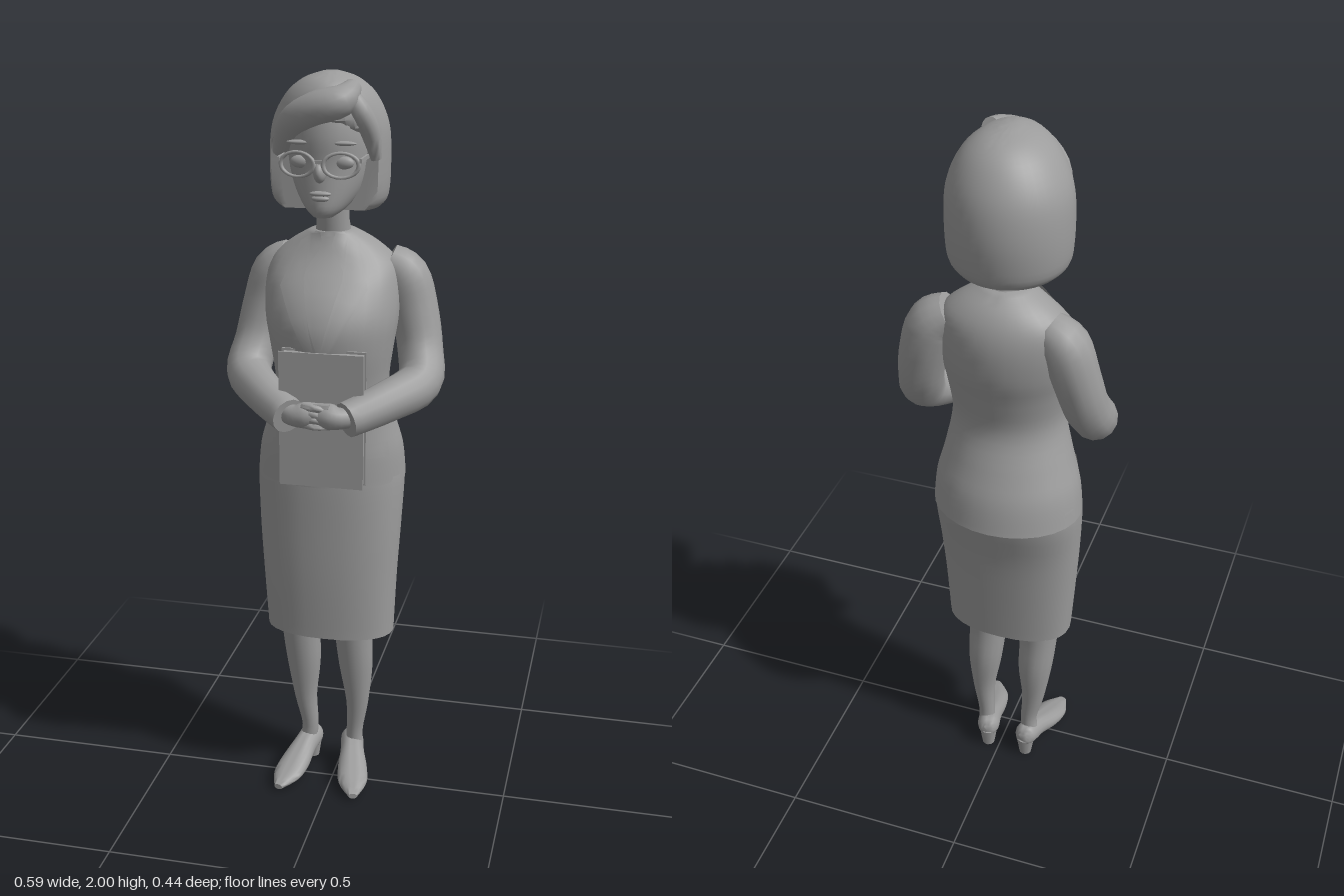
import * as THREE from 'three';
import { toCreasedNormals } from 'three/addons/utils/BufferGeometryUtils.js';

const V = (x, y, z) => new THREE.Vector3(x, y, z);
const grey = new THREE.MeshStandardMaterial({ color: 0x9c9c9c });
grey.name = 'grey';
const greySheet = new THREE.MeshStandardMaterial({ color: 0x9c9c9c, side: THREE.DoubleSide });
greySheet.name = 'grey sheet';

function add(parent, name, geometry, pos = [0, 0, 0], scale = [1, 1, 1], material = grey) {
  const m = new THREE.Mesh(geometry, material);
  m.name = name;
  m.position.set(...pos);
  m.scale.set(...scale);
  parent.add(m);
  return m;
}

// Skin over closed rings of points, with both ends capped
function skin(rings, crease = 0.9) {
  const middle = r => r.map(() => r.reduce((s, p) => s.add(p), V(0, 0, 0)).divideScalar(r.length));
  const all = [middle(rings[0].map(p => p.clone())), ...rings, middle(rings.at(-1).map(p => p.clone()))];
  const n = rings[0].length, index = [];
  for (let i = 0; i < all.length - 1; i++) for (let j = 0; j < n; j++) {
    const k = (j + 1) % n, a = i * n + j, b = a + n, c = i * n + k, d = c + n;
    if (i > 0) index.push(a, b, c);
    if (i < all.length - 2) index.push(b, d, c);
    if (i === 0) index.splice(index.length - 3, 3, a, b, d);
  }
  const g = new THREE.BufferGeometry().setFromPoints(all.flat());
  g.setIndex(index);
  return toCreasedNormals(g, crease);
}

// Smooth value through rows of numbers at position u (in rows)
function smooth(rows, u) {
  const i = Math.min(Math.floor(u), rows.length - 2), t = u - i;
  const at = k => rows[Math.max(0, Math.min(rows.length - 1, k))];
  return rows[0].map((_, c) => {
    const [p, q, r, s] = [at(i - 1)[c], at(i)[c], at(i + 1)[c], at(i + 2)[c]];
    return q + 0.5 * t * (r - p + t * (2 * p - 5 * q + 4 * r - s + t * (3 * (q - r) + s - p)));
  });
}

// Vertical loft; rows are [y, centre x, half width, front z, back z]
function loft(rows, { steps = 4, sides = 28, power = 2, rule = p => p } = {}) {
  const rings = [];
  for (let s = 0; s <= (rows.length - 1) * steps; s++) {
    const [y, cx, rx, zf, zb] = smooth(rows, s / steps);
    rings.push(Array.from({ length: sides }, (_, j) => {
      const a = j / sides * Math.PI * 2, c = Math.cos(a), d = Math.sin(a), e = 2 / power;
      return rule(V(cx + rx * Math.sign(c) * Math.abs(c) ** e, y,
        (zf + zb) / 2 + (zf - zb) / 2 * Math.sign(d) * Math.abs(d) ** e));
    }));
  }
  return skin(rings);
}

// Tube of changing radius; rows are [x, y, z, radius]
function limb(rows, steps = 4, sides = 14) {
  const n = (rows.length - 1) * steps;
  const pts = Array.from({ length: n + 1 }, (_, s) => smooth(rows, s / steps));
  const curve = new THREE.CatmullRomCurve3(pts.map(p => V(...p)));
  curve.getUtoTmapping = u => u;
  const f = curve.computeFrenetFrames(n);
  return skin(pts.map((p, i) => Array.from({ length: sides }, (_, j) => {
    const a = j / sides * Math.PI * 2;
    return V(...p).addScaledVector(f.normals[i], Math.cos(a) * p[3])
      .addScaledVector(f.binormals[i], -Math.sin(a) * p[3]);
  })));
}

const TORSO = [
  [0.935, -0.015, 0.203, 0.098, -0.225], [1.02, -0.013, 0.194, 0.1, -0.208],
  [1.1, -0.01, 0.172, 0.1, -0.178], [1.2, -0.005, 0.152, 0.105, -0.145],
  [1.3, -0.005, 0.163, 0.125, -0.162], [1.38, -0.007, 0.176, 0.125, -0.184],
  [1.46, -0.01, 0.178, 0.085, -0.19], [1.52, -0.01, 0.165, 0.037, -0.18],
  [1.565, -0.01, 0.118, 0.01, -0.155], [1.6, -0.01, 0.06, -0.002, -0.115],
];

// Front of the jacket at a given x and y
function chestZ(x, y) {
  let i = 0;
  while (i < TORSO.length - 2 && TORSO[i + 1][0] < y) i++;
  const u = i + (y - TORSO[i][0]) / (TORSO[i + 1][0] - TORSO[i][0]);
  const [, cx, rx, zf, zb] = smooth(TORSO, Math.min(u, TORSO.length - 1));
  return (zf + zb) / 2 + (zf - zb) / 2 * Math.sqrt(Math.max(0, 1 - ((x - cx) / rx) ** 2));
}

// Cloth strip laid on the chest between two edge lines of [x, y] points
function drape(left, right, lift, n = 10, m = 5) {
  const pts = [], index = [];
  for (let i = 0; i <= n; i++) {
    const u = i / n * (left.length - 1), k = Math.min(Math.floor(u), left.length - 2), t = u - k;
    const at = e => [0, 1].map(c => e[k][c] * (1 - t) + e[k + 1][c] * t);
    const a = at(left), b = at(right);
    for (let j = 0; j <= m; j++) {
      const x = a[0] + (b[0] - a[0]) * j / m, y = a[1] + (b[1] - a[1]) * j / m;
      pts.push(V(x, y, chestZ(x, y) + lift));
      if (i < n && j < m) {
        const p = i * (m + 1) + j, q = p + m + 1;
        index.push(p, q, p + 1, q, q + 1, p + 1);
      }
    }
  }
  const g = new THREE.BufferGeometry().setFromPoints(pts);
  g.setIndex(index);
  g.computeVertexNormals();
  return g;
}

export function createModel() {
  const model = new THREE.Group();
  model.name = 'woman with book';
  const ball = new THREE.SphereGeometry(1, 20, 14);

  // Clothes
  add(model, 'skirt', loft([
    [0.48, -0.01, 0.178, 0.075, -0.13], [0.65, -0.013, 0.187, 0.08, -0.148],
    [0.8, -0.014, 0.196, 0.08, -0.167], [0.95, -0.015, 0.2, 0.078, -0.2], [1.03, -0.015, 0.18, 0.07, -0.18],
  ], { power: 2.3 }));
  add(model, 'jacket', loft(TORSO));
  add(model, 'blouse', drape([[-0.05, 1.59], [-0.07, 1.5], [-0.01, 1.3]], [[0.035, 1.59], [0.055, 1.5], [0, 1.3]], 0.003),
    undefined, undefined, greySheet);
  for (const s of [-1, 1]) {
    const side = s < 0 ? 'right' : 'left', e = pts => pts.map(([x, y]) => [-0.01 + s * x, y]);
    add(model, side + ' lapel', drape(e([[0.045, 1.595], [0.05, 1.49], [0, 1.28]]), e([[0.075, 1.575], [0.115, 1.47], [0.012, 1.28]]), 0.012),
      undefined, undefined, greySheet);
    add(model, side + ' collar', drape(e([[0.02, 1.6], [0.012, 1.57]]), e([[0.05, 1.595], [0.05, 1.51]]), 0.014, 4),
      undefined, undefined, greySheet);
    add(model, side + ' pocket flap', drape(e([[0.1, 1.06], [0.1, 1.02]]), e([[0.165, 1.055], [0.17, 1.015]]), 0.007, 4),
      undefined, undefined, greySheet);

    // Arms and clasped hands
    add(model, side + ' sleeve', limb([
      [s * 0.125, 1.51, -0.09, 0.052], [s * 0.172, 1.475, -0.095, 0.064], [s * 0.2, 1.39, -0.09, 0.063],
      [s * 0.222, 1.29, -0.065, 0.06], [s * 0.23, 1.215, -0.005, 0.06],
      [s * 0.16, 1.185, 0.09, 0.054], [s * 0.075, 1.158, 0.175, 0.047],
    ]));
    add(model, side + ' hand', limb([
      [s * 0.1, 1.165, 0.15, 0.028], [s * 0.06, 1.162, 0.178, 0.028],
      [s * 0.03, 1.165, 0.178, 0.034], [-s * 0.01, 1.17, 0.172, 0.026],
    ]));
    for (let i = 0; i < 4; i++) add(model, side + ' finger', limb([
      [s * 0.035, 1.192 - i * 0.016, 0.19, 0.01], [0, 1.19 - i * 0.016, 0.199 - (s < 0 ? 0 : 0.012), 0.01],
      [-s * 0.035, 1.18 - i * 0.014, 0.185, 0.007],
    ], 3, 8));

    // Legs
    const cx = s < 0 ? -0.1 : 0.053;
    add(model, side + ' leg', limb([
      [cx - 0.005, 0.6, -0.055, 0.065], [cx - 0.006, 0.46, -0.06, 0.055], [cx, 0.34, -0.07, 0.049],
      [cx + 0.004, 0.22, -0.073, 0.033], [cx + 0.006 - s * 0.01, 0.12, -0.077, 0.024], [cx - s * 0.005, 0.05, -0.08, 0.027],
    ]));

    // Pumps with toes turned slightly out; rows run heel to toe
    const foot = new THREE.Group();
    foot.name = side + ' shoe';
    foot.position.set(cx - s * 0.012, 0, -0.08);
    foot.rotation.y = s * 0.22;
    add(foot, 'upper', loft([
      [-0.046, 0, 0.018, -0.045, -0.085], [-0.025, 0, 0.032, -0.035, -0.105], [0.03, 0, 0.034, -0.025, -0.095],
      [0.09, 0, 0.042, -0.008, -0.07], [0.15, 0, 0.04, -0.006, -0.045], [0.205, 0, 0.012, -0.008, -0.024],
    ], { sides: 18 })).rotation.x = Math.PI / 2;
    add(foot, 'heel', new THREE.CylinderGeometry(0.027, 0.018, 0.06, 12), [0, 0.03, -0.024]);
    model.add(foot);
  }

  // Book held against the body
  add(model, 'book cover', new THREE.BoxGeometry(0.222, 0.36, 0.006), [0.003, 1.14, 0.146]);
  add(model, 'book back', new THREE.BoxGeometry(0.222, 0.36, 0.006), [0.003, 1.14, 0.111]);
  add(model, 'book pages', new THREE.BoxGeometry(0.21, 0.348, 0.032), [0.004, 1.14, 0.129]);

  // Head
  add(model, 'neck', limb([[-0.01, 1.55, -0.07, 0.055], [-0.01, 1.62, -0.05, 0.044], [-0.01, 1.72, -0.04, 0.045]]));
  add(model, 'face', loft([
    [1.65, -0.012, 0.025, 0.078, 0.02], [1.672, -0.012, 0.055, 0.088, -0.06], [1.72, -0.012, 0.088, 0.086, -0.13],
    [1.78, -0.012, 0.107, 0.082, -0.16], [1.85, -0.012, 0.11, 0.085, -0.16], [1.92, -0.012, 0.095, 0.07, -0.14],
    [1.96, -0.012, 0.05, 0.03, -0.1],
  ]));
  add(model, 'nose', ball, [-0.012, 1.765, 0.088], [0.016, 0.026, 0.027]);
  add(model, 'upper lip', ball, [-0.012, 1.712, 0.085], [0.028, 0.007, 0.011]);
  add(model, 'lower lip', ball, [-0.012, 1.7, 0.085], [0.023, 0.008, 0.011]);

  // Bob: cut flat beside the face, full over the crown
  add(model, 'bob hair', loft([
    [1.66, -0.02, 0.128, 0.06, -0.195], [1.69, -0.02, 0.15, 0.08, -0.21], [1.78, -0.02, 0.155, 0.09, -0.22],
    [1.87, -0.018, 0.148, 0.088, -0.208], [1.94, -0.014, 0.115, 0.078, -0.172],
    [1.98, -0.012, 0.07, 0.05, -0.125], [1.998, -0.01, 0.022, 0, -0.06],
  ], {
    sides: 40,
    rule: p => { p.z = Math.min(p.z, 0.005 + 0.1 * THREE.MathUtils.smoothstep(p.y, 1.82, 1.92)); return p; },
  }));
  add(model, 'swept fringe', limb([
    [0.055, 1.965, 0.01, 0.022], [0.035, 1.935, 0.058, 0.04], [-0.03, 1.915, 0.066, 0.042],
    [-0.095, 1.875, 0.04, 0.038], [-0.135, 1.8, 0.005, 0.02],
  ]));
  add(model, 'side fringe', limb([
    [0.045, 1.955, 0.03, 0.018], [0.075, 1.915, 0.04, 0.027], [0.1, 1.86, 0.022, 0.025], [0.112, 1.79, 0, 0.014],
  ]));

  // Eyes and glasses
  const glasses = new THREE.Group();
  glasses.name = 'glasses';
  for (const s of [-1, 1]) {
    const x = -0.012 + s * 0.055;
    add(model, 'eye', ball, [x, 1.787, 0.064], [0.026, 0.016, 0.012]);
    add(model, 'eyebrow', ball, [x, 1.835, 0.07], [0.034, 0.006, 0.01]);
    add(glasses, 'rim', new THREE.TorusGeometry(0.042, 0.0055, 8, 24), [x, 1.785, 0.097], [1.05, 0.72, 1]).rotation.y = s * 0.15;
    add(glasses, 'temple', new THREE.BoxGeometry(0.006, 0.01, 0.11), [-0.012 + s * 0.104, 1.797, 0.04]);
  }
  add(glasses, 'bridge', new THREE.BoxGeometry(0.026, 0.008, 0.008), [-0.012, 1.792, 0.102]);
  model.add(glasses);
  return model;
}
